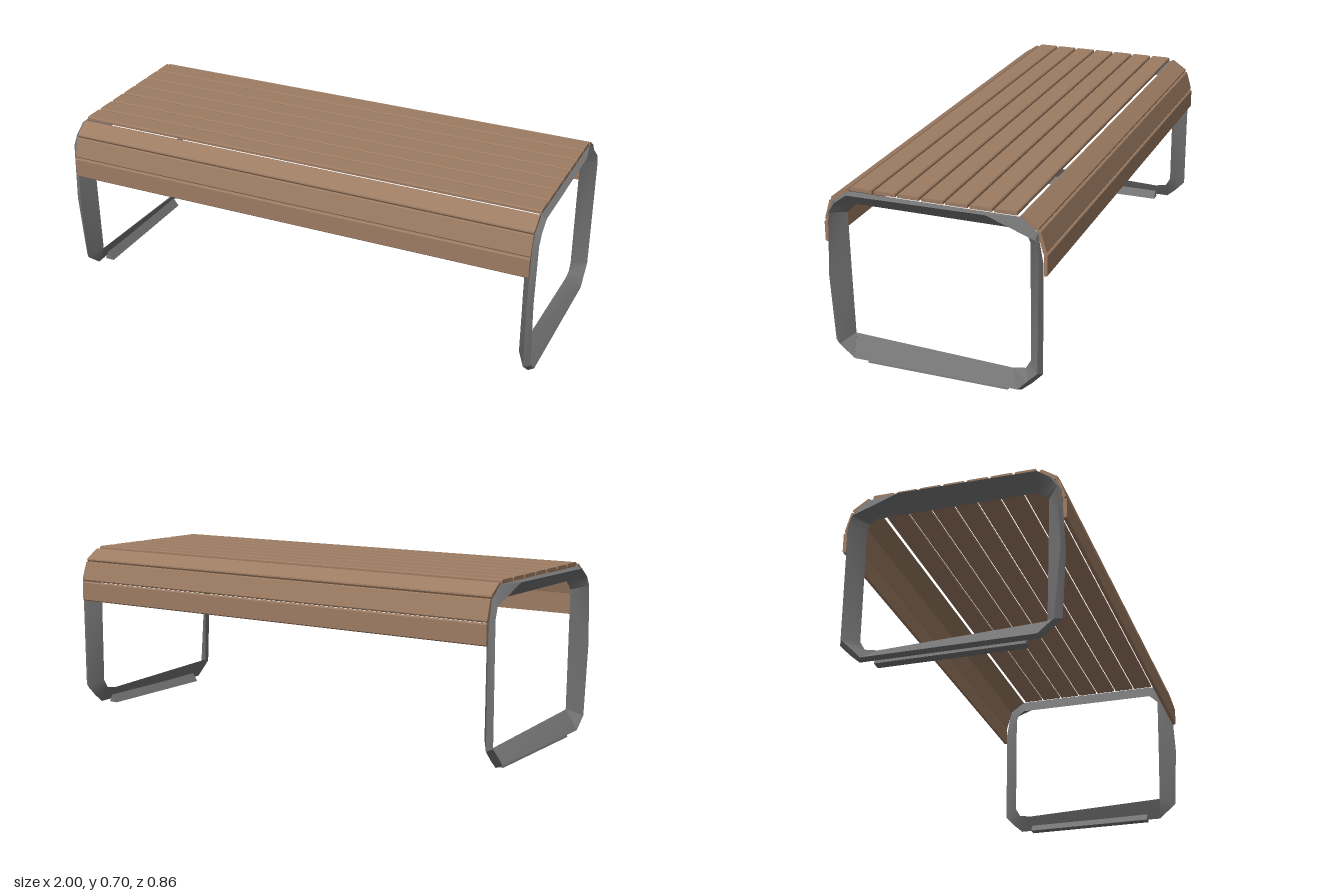
import * as THREE from 'three';
import { toCreasedNormals } from 'three/addons/utils/BufferGeometryUtils.js';

const wood = new THREE.MeshStandardMaterial({ color: 0x9c7b62 });
wood.name = 'brown wood';
const metal = new THREE.MeshStandardMaterial({ color: 0x737374 });
metal.name = 'grey metal';

// Frame loop stations: outer edge, face edge and inner edge, each as z, y
const STATIONS = [
  [0.335, 0.012, 0.325, 0.021, 0.345, 0.095],
  [0.41, 0.075, 0.385, 0.07, 0.345, 0.097],
  [0.425, 0.34, 0.412, 0.36, 0.35, 0.34],
  [0.412, 0.595, 0.4, 0.6, 0.354, 0.585],
  [0.385, 0.645, 0.375, 0.64, 0.338, 0.602],
  [0.325, 0.685, 0.325, 0.676, 0.315, 0.622],
  [-0.335, 0.685, -0.21, 0.681, -0.315, 0.622],
  [-0.395, 0.635, -0.39, 0.615, -0.342, 0.602],
  [-0.415, 0.52, -0.405, 0.57, -0.353, 0.575],
  [-0.415, 0.09, -0.402, 0.1, -0.355, 0.115],
  [-0.375, 0.047, -0.362, 0.06, -0.335, 0.08],
  [-0.335, 0.012, -0.325, 0.021, -0.285, 0.071],
];
const SECTION_X = [0.978, 1, 0.94];

// Closed loop with a slanting three-sided section
function frameGeometry(side) {
  const positions = [];
  const indices = [];
  const n = STATIONS.length;
  for (const s of STATIONS) {
    for (let k = 0; k < 3; k++) positions.push(side * SECTION_X[k], s[2 * k + 1], s[2 * k]);
  }
  for (let i = 0; i < n; i++) {
    const j = (i + 1) % n;
    for (let k = 0; k < 3; k++) {
      const m = (k + 1) % 3;
      const a = i * 3 + k, b = j * 3 + k, c = j * 3 + m, d = i * 3 + m;
      // The mirrored frame needs the opposite corner order
      if (side > 0) indices.push(a, d, c, a, c, b);
      else indices.push(a, c, d, a, b, c);
    }
  }
  const g = new THREE.BufferGeometry();
  g.setAttribute('position', new THREE.Float32BufferAttribute(positions, 3));
  g.setIndex(indices);
  return toCreasedNormals(g, 0.5);
}

// Board with chamfered upper edges, its top face running from [z, y] to [z, y]
function slat(z0, y0, z1, y1) {
  const h = Math.hypot(z1 - z0, y1 - y0) / 2, t = 0.014, c = 0.004;
  const shape = new THREE.Shape([
    [-h, -t], [h, -t], [h, -c], [h - c, 0], [-h + c, 0], [-h, -c],
  ].map(([x, y]) => new THREE.Vector2(x, y)));
  const g = new THREE.ExtrudeGeometry(shape, { depth: 1.956, bevelEnabled: false });
  g.translate(0, 0, -0.978).rotateY(-Math.PI / 2);
  const mesh = new THREE.Mesh(g, wood);
  mesh.position.set(0, (y0 + y1) / 2, (z0 + z1) / 2);
  mesh.rotation.x = Math.atan2(y0 - y1, z1 - z0);
  return mesh;
}

export function createModel() {
  const model = new THREE.Group();
  model.name = 'slattedBench';

  // End frames with wedge feet
  for (const side of [1, -1]) {
    const name = side > 0 ? 'left' : 'right';
    const frame = new THREE.Mesh(frameGeometry(side), metal);
    frame.name = name + 'Frame';
    const wedge = new THREE.Shape([[0.98, 0], [0.94, 0], [0.966, 0.035]]
      .map(([x, y]) => new THREE.Vector2(side * x, y)));
    const foot = new THREE.Mesh(
      new THREE.ExtrudeGeometry(wedge, { depth: 0.56, bevelEnabled: false }).translate(0, 0, -0.28), metal);
    foot.name = name + 'Foot';
    model.add(frame, foot);
  }

  // Flat seat boards
  const seat = new THREE.Group();
  seat.name = 'seat';
  for (let i = -3; i <= 3; i++) {
    const board = slat(i * 0.092 - 0.042, 0.701, i * 0.092 + 0.042, 0.701);
    board.name = 'seatSlat';
    seat.add(board);
  }

  // Boards wrapping down over the front and back edges
  const wrap = [
    [0.335, 0.695, 0.401, 0.651],
    [0.404, 0.643, 0.428, 0.562],
    [0.43, 0.557, 0.43, 0.475],
  ];
  for (const [z0, y0, z1, y1] of wrap) {
    const front = slat(z0, y0, z1, y1);
    front.name = 'frontSlat';
    const back = slat(-z1, y1, -z0, y0);
    back.name = 'backSlat';
    seat.add(front, back);
  }
  model.add(seat);
  return model;
}
